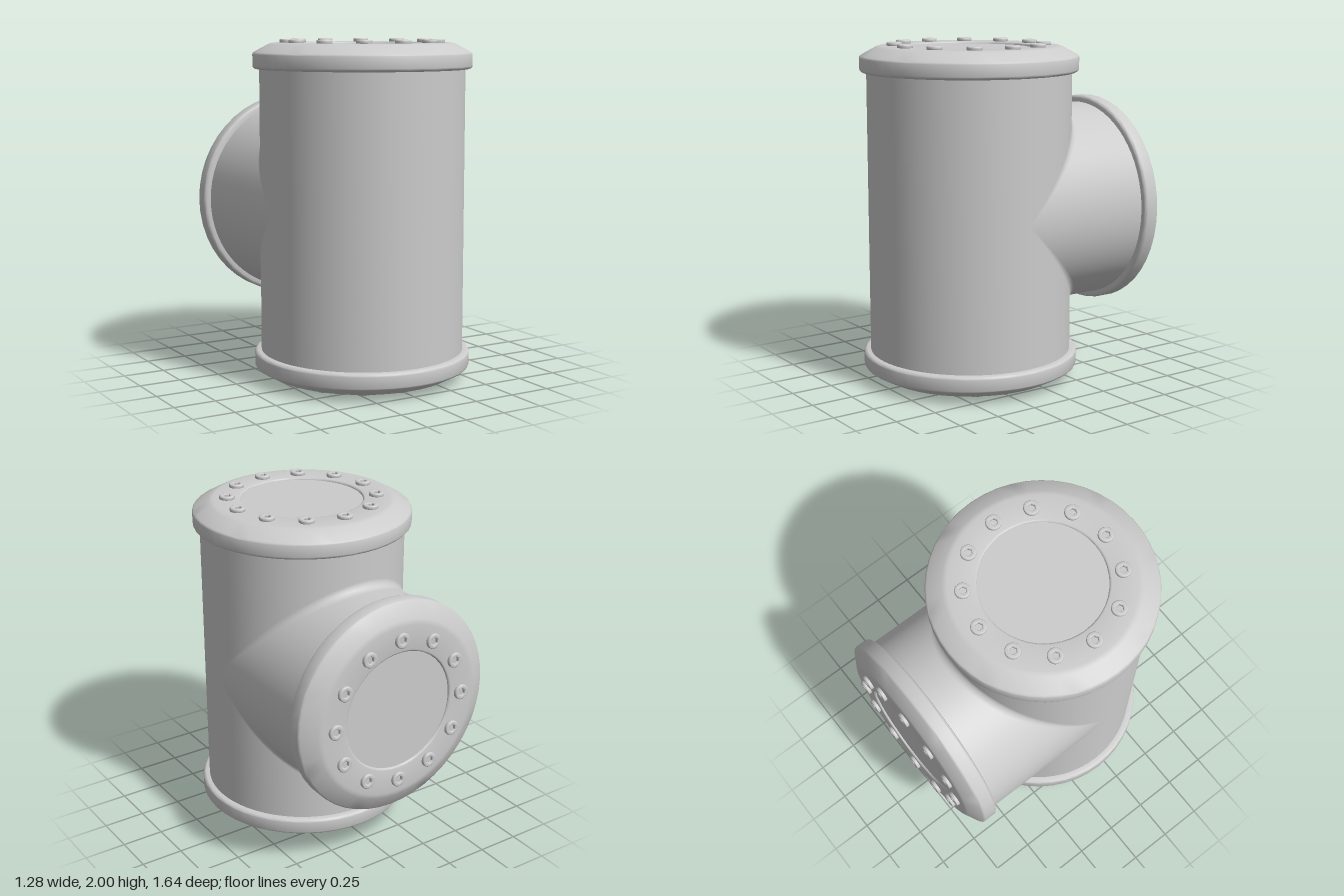
import * as THREE from 'three';
import { toCreasedNormals } from 'three/addons/utils/BufferGeometryUtils.js';

const R = 0.6;         // pipe radius
const F = 0.05;        // fillet radius at the junction
const B = R + F;
const ZC = 0.178;      // z of the main pipe axis
const MID = 1;         // height of the branch axis
const SEGS = 64;

const grey = new THREE.MeshStandardMaterial({ color: 0xcccccc });

function add(parent, name, geometry) {
  const mesh = new THREE.Mesh(geometry, grey);
  mesh.name = name;
  parent.add(mesh);
  return mesh;
}

// Grid surface: fn(u, v) gives [position, normal]; faces are wound to agree with the normals
function patch(fn, nu, nv) {
  const pts = [], nors = [], index = [];
  for (let i = 0; i <= nu; i++) {
    for (let j = 0; j <= nv; j++) {
      const [p, n] = fn(i / nu, j / nv);
      pts.push(p);
      nors.push(n);
    }
  }
  const e1 = new THREE.Vector3(), e2 = new THREE.Vector3();
  const tri = (a, b, c) => {
    e1.subVectors(pts[b], pts[a]);
    e2.subVectors(pts[c], pts[a]);
    const mean = nors[a].clone().add(nors[b]).add(nors[c]);
    if (e1.cross(e2).dot(mean) < 0) index.push(a, c, b);
    else index.push(a, b, c);
  };
  for (let i = 0; i < nu; i++) {
    for (let j = 0; j < nv; j++) {
      const a = i * (nv + 1) + j, b = a + nv + 1;
      tri(a, b, a + 1);
      tri(b, b + 1, a + 1);
    }
  }
  const flat = list => new Float32Array(list.flatMap(v => v.toArray()));
  const geo = new THREE.BufferGeometry();
  geo.setAttribute('position', new THREE.BufferAttribute(flat(pts), 3));
  geo.setAttribute('normal', new THREE.BufferAttribute(flat(nors), 3));
  geo.setIndex(index);
  return geo;
}

const V = (x, y, z) => new THREE.Vector3(x, y, z);

// Main pipe wall, upper (s = 1) or lower (s = -1) half, cut along the fillet edge
const mainWall = s => patch((u, v) => {
  const t = (u * 2 - 1) * Math.PI;
  const h = THREE.MathUtils.lerp(B * Math.max(0, Math.cos(t)), 0.84, v);
  const n = V(Math.sin(t), 0, -Math.cos(t));
  return [V(R * n.x, MID + s * h, ZC + R * n.z), n];
}, SEGS, 4);

// Branch pipe wall, upper or lower half, reaching back to its flange
const branchWall = s => patch((u, v) => {
  const t = (u - 0.5) * Math.PI;
  const d = THREE.MathUtils.lerp(B * Math.cos(t), 0.84, v);
  const n = V(Math.sin(t), s * Math.cos(t), 0);
  return [V(R * n.x, MID + R * n.y, ZC - d), n];
}, SEGS / 2, 4);

// Rolling-ball fillet between the two pipes; it narrows to nothing at the sides
const fillet = s => patch((u, v) => {
  const t = (u - 0.5) * Math.PI, sn = Math.sin(t), c = Math.cos(t);
  const n = V(sn, 0, -c).lerp(V(sn, s * c, 0), v).normalize();
  const centre = V(B * sn, MID + s * B * c, ZC - B * c);
  return [centre.addScaledVector(n, -F), n];
}, SEGS / 2, 6);

// Flange ring with chamfered shoulder and a lip round the recessed cover
function flangeGeometry() {
  const profile = [
    [0.585, 0], [0.622, 0], [0.632, 0.004], [0.638, 0.010], [0.64, 0.018],
    [0.64, 0.084], [0.637, 0.091], [0.63, 0.097],
    [0.545, 0.143], [0.53, 0.148], [0.515, 0.15],
    [0.368, 0.15], [0.361, 0.148], [0.357, 0.144], [0.356, 0.136],
  ].map(([r, h]) => new THREE.Vector2(r, h));
  return toCreasedNormals(new THREE.LatheGeometry(profile, 48), 0.75);
}

// Round bolt head with a hexagonal socket
function boltGeometry() {
  const shape = new THREE.Shape().absarc(0, 0, 0.039, 0, Math.PI * 2);
  const hex = [];
  for (let i = 0; i < 6; i++) {
    const a = Math.PI / 2 - i * Math.PI / 3;
    hex.push(new THREE.Vector2(Math.cos(a) * 0.029, Math.sin(a) * 0.029));
  }
  shape.holes.push(new THREE.Path(hex));
  const geo = new THREE.ExtrudeGeometry(shape, {
    depth: 0.012, curveSegments: 12,
    bevelEnabled: true, bevelThickness: 0.006, bevelSize: 0.006, bevelSegments: 3,
  });
  geo.rotateX(-Math.PI / 2);
  return toCreasedNormals(geo, 0.7);
}

export function createModel() {
  const model = new THREE.Group();
  model.name = 'pipeTee';

  for (const s of [1, -1]) {
    const half = s > 0 ? 'Upper' : 'Lower';
    add(model, 'mainPipe' + half, mainWall(s));
    add(model, 'branchPipe' + half, branchWall(s));
    add(model, 'junctionFillet' + half, fillet(s));
  }

  // Three identical bolted end caps
  const flange = flangeGeometry();
  const bolt = boltGeometry();
  const cover = new THREE.CircleGeometry(0.358, 48).rotateX(-Math.PI / 2);
  const ends = [
    ['topCap', 1.83, ZC, 0],
    ['bottomCap', 0.17, ZC, Math.PI],
    ['branchCap', MID, -0.648, -Math.PI / 2],
  ];
  for (const [name, y, z, turn] of ends) {
    const cap = new THREE.Group();
    cap.name = name;
    add(cap, 'flange', flange);
    add(cap, 'coverPlate', cover).position.y = 0.137;
    for (let i = 0; i < 12; i++) {
      const a = i * Math.PI / 6;
      add(cap, 'bolt', bolt).position.set(Math.cos(a) * 0.435, 0.152, Math.sin(a) * 0.435);
    }
    cap.position.set(0, y, z);
    cap.rotation.x = turn;
    model.add(cap);
  }
  return model;
}
